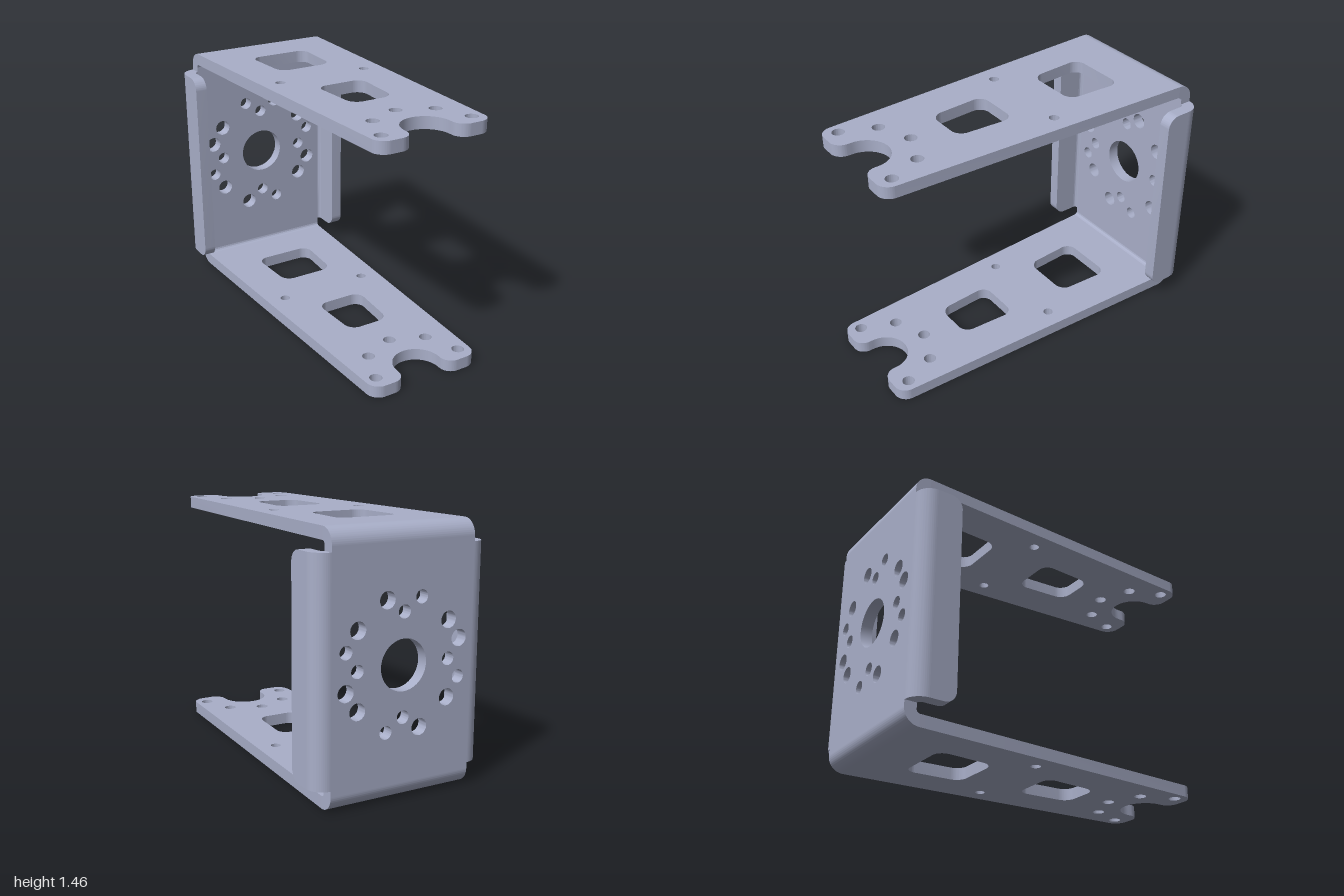
import * as THREE from 'three';
import { toCreasedNormals } from 'three/addons/utils/BufferGeometryUtils.js';

const T = 0.07;                 // sheet thickness
const RO = 0.09, RI = 0.02;     // bend radii
const H = 1.46;                 // overall height
const W = 0.432;                // half width of the back plate
const BZ = -1 + RO;             // z of every bend centre
const FY0 = 0.125, FY1 = 1.34;  // flange height range

// Closed path through [x, y, radius] corners, or [cx, cy, r, a0, a1] clockwise arcs
function outline(path, pts) {
  const n = pts.length;
  const ends = (p) => [p[0] + p[2] * Math.cos(p[3]), p[1] + p[2] * Math.sin(p[3])];
  const tails = (p) => [p[0] + p[2] * Math.cos(p[4]), p[1] + p[2] * Math.sin(p[4])];
  const step = (p, q, r) => {
    const l = Math.hypot(q[0] - p[0], q[1] - p[1]);
    return (t) => [p[0] + (q[0] - p[0]) / l * r * t, p[1] + (q[1] - p[1]) / l * r * t];
  };
  pts.forEach((p, i) => {
    if (p.length === 5) { path.absarc(...p, true); return; }
    const before = pts[(i + n - 1) % n], after = pts[(i + 1) % n];
    const a = step(p, before.length === 5 ? tails(before) : before, p[2]);
    const b = step(p, after.length === 5 ? ends(after) : after, p[2]);
    if (i === 0) path.moveTo(...a(1)); else path.lineTo(...a(1));
    if (p[2] > 0) path.bezierCurveTo(...a(0.45), ...b(0.45), ...b(1));
  });
  path.closePath();
  return path;
}

const hole = (x, y, r) => new THREE.Path().absarc(x, y, r, 0, Math.PI * 2, false);

const extrude = (shape, depth) =>
  new THREE.ExtrudeGeometry(shape, { depth, bevelEnabled: false, curveSegments: 20 });

// Quarter ring starting at angle a0
function ring(cx, cy, a0) {
  const a1 = a0 + Math.PI / 2;
  return new THREE.Shape()
    .absarc(cx, cy, RO, a0, a1, false)
    .absarc(cx, cy, RI, a1, a0, true)
    .closePath();
}

// Flat arm, drawn in x and z
function armGeometry() {
  const s = outline(new THREE.Shape(), [
    [-W, BZ, 0], [W, BZ, 0],
    [0.344, 1, 0.07], [0.14, 1, 0.07],
    [0, 0.91, 0.14, 0, -Math.PI],
    [-0.14, 1, 0.07], [-0.344, 1, 0.07],
  ]);
  // Lightening windows: back z, front z, back and front half widths
  for (const [z0, z1, w0, w1] of [[-0.657, -0.308, 0.187, 0.168], [0.072, 0.422, 0.149, 0.129]]) {
    s.holes.push(outline(new THREE.Path(), [
      [-w0, z0, 0.065], [w0, z0, 0.065], [w1, z1, 0.065], [-w1, z1, 0.065],
    ]));
  }
  // Screw holes
  s.holes.push(hole(0, 0.632, 0.036));
  for (const m of [-1, 1]) {
    s.holes.push(hole(m * 0.28, -0.107, 0.029), hole(m * 0.196, 0.714, 0.036), hole(m * 0.278, 0.912, 0.036));
  }
  return extrude(s, T).rotateX(Math.PI / 2);
}

// Upright back plate with the bolt pattern
function backGeometry() {
  const cy = H / 2;
  const s = outline(new THREE.Shape(), [[-W, RO, 0], [W, RO, 0], [W, H - RO, 0], [-W, H - RO, 0]]);
  s.holes.push(hole(0, cy, 0.14));
  const small = 0.037, large = 0.047;
  for (const m of [-1, 1]) {
    s.holes.push(
      hole(0, cy + m * 0.28, small), hole(m * 0.28, cy, small),
      hole(m * 0.105, cy - m * 0.348, small), hole(m * 0.105, cy + m * 0.348, large),
      hole(m * 0.348, cy + m * 0.105, small), hole(m * 0.348, cy - m * 0.105, large),
      hole(m * 0.278, cy + 0.21, large), hole(m * 0.278, cy - 0.21, large),
    );
  }
  return extrude(s, T).translate(0, 0, -1);
}

export function createModel() {
  const group = new THREE.Group();
  const metal = new THREE.MeshStandardMaterial({ color: 0xa9afc9 });
  metal.name = 'greyBlueMetal';

  const add = (name, geometry) => {
    const mesh = new THREE.Mesh(toCreasedNormals(geometry, 0.6), metal);
    mesh.name = name;
    group.add(mesh);
  };

  add('backPlate', backGeometry());

  // Arms and the bends joining them to the back plate
  add('lowerArm', armGeometry().translate(0, T, 0));
  add('upperArm', armGeometry().translate(0, H, 0));
  const armBend = (cy, a0) => extrude(ring(BZ, cy, a0), W * 2).rotateY(-Math.PI / 2).translate(W, 0, 0);
  add('lowerBend', armBend(RO, Math.PI));
  add('upperBend', armBend(H - RO, Math.PI / 2));

  // Side flanges and their bends
  for (const [side, m] of [['left', 1], ['right', -1]]) {
    const bend = ring(m * W, BZ, m > 0 ? -Math.PI / 2 : Math.PI);
    add(side + 'FlangeBend', extrude(bend, FY1 - FY0).rotateX(Math.PI / 2).translate(0, FY1, 0));

    const plate = outline(new THREE.Shape(), [
      [BZ, FY0, 0], [-0.757, FY0, 0.07], [-0.757, FY1, 0.07], [BZ, FY1, 0],
    ]);
    const outer = m > 0 ? W + RO : -(W + RI);
    add(side + 'Flange', extrude(plate, T).rotateY(-Math.PI / 2).translate(outer, 0, 0));
  }
  return group;
}
